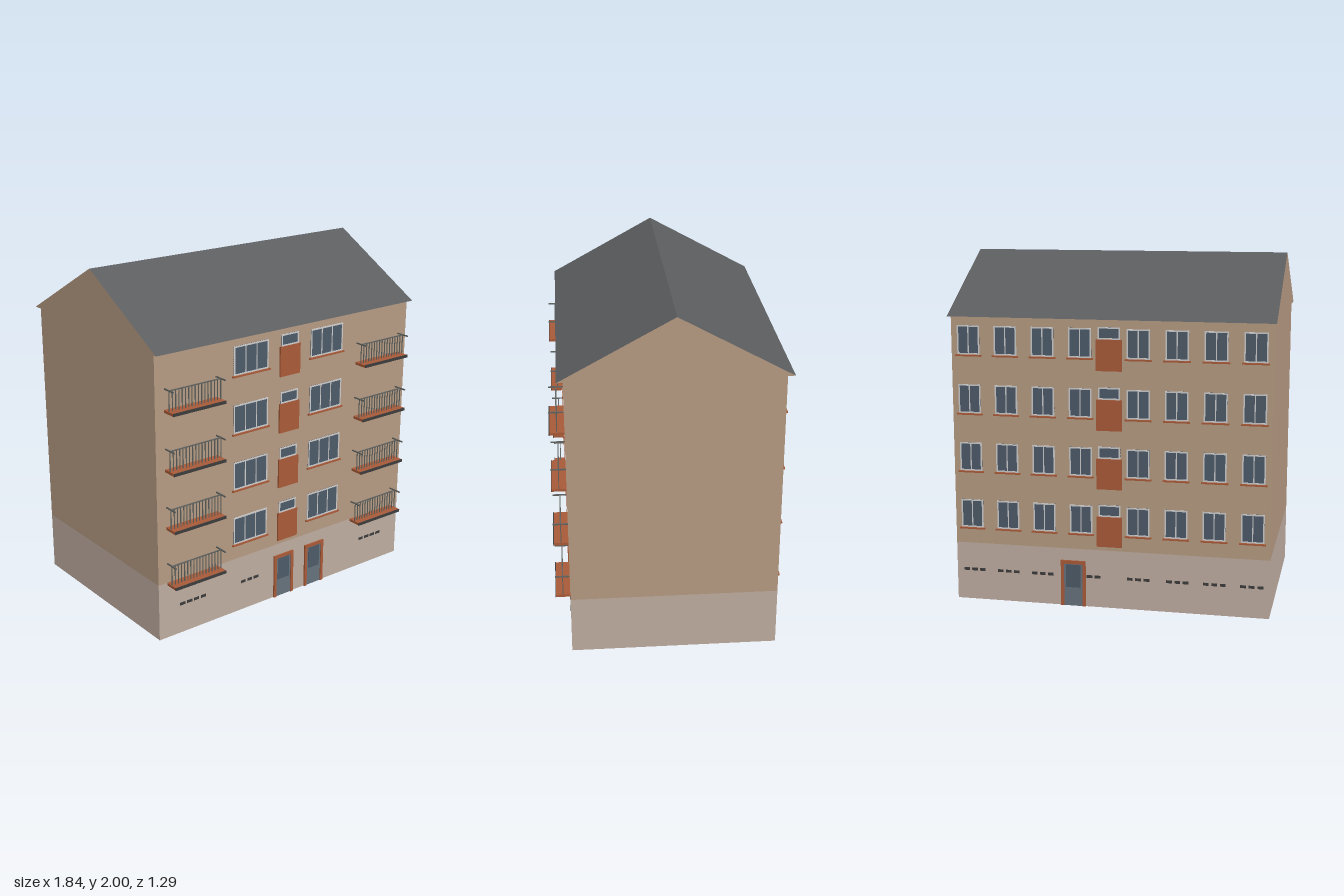
import * as THREE from 'three';

const mat = (color, side = THREE.FrontSide) =>
  new THREE.MeshStandardMaterial({ color, side, roughness: 0.9, flatShading: true });

const FRONT = 0.56, BACK = -0.605, HALF = 0.91;
const BAND = 0.34, EAVE = 1.66, RIDGE = 2.0, STOREY = 0.336, FLOORS = 4;

export function createModel() {
  const M = {
    wall: mat(0xb59a82, THREE.DoubleSide), band: mat(0xbeaca0, THREE.DoubleSide),
    gable: mat(0xb59a82), roof: mat(0x5a5c5e), orange: mat(0xa85a38),
    dark: mat(0x3c3c3c), rail: mat(0x60625f), frame: mat(0xc4c8c6),
    glass: mat(0x4c5a68), door: mat(0x66727c),
  };
  const model = new THREE.Group();
  model.name = 'apartmentBlock';

  // Box given by its centre x, bottom y, back z and size
  function box(parent, name, material, x, y, z, w, h, d) {
    const mesh = new THREE.Mesh(new THREE.BoxGeometry(w, h, d), material);
    mesh.position.set(x, y + h / 2, z + d / 2);
    mesh.name = name;
    parent.add(mesh);
    return mesh;
  }
  function group(parent, name) {
    const g = new THREE.Group();
    g.name = name;
    parent.add(g);
    return g;
  }

  // Walls: four sides only, open below and above
  function walls(name, material, y0, y1) {
    const mesh = box(model, name, material, 0, y0, BACK, HALF * 2, y1 - y0, FRONT - BACK);
    const index = Array.from(mesh.geometry.index.array);
    mesh.geometry.setIndex([...index.slice(0, 12), ...index.slice(24, 36)]);
    mesh.geometry.clearGroups();
  }
  walls('groundFloorBand', M.band, 0, BAND);
  walls('upperWalls', M.wall, BAND, EAVE);

  // Roof: a prism along x, with wall-coloured gable ends
  const profile = new THREE.Shape();
  profile.moveTo(-0.595, EAVE);
  profile.lineTo(0.645, EAVE);
  profile.lineTo(0.025, RIDGE);
  profile.closePath();
  const prism = new THREE.ExtrudeGeometry(profile, { depth: 1.84, bevelEnabled: false });
  prism.translate(0, 0, -0.92);
  prism.rotateY(Math.PI / 2); // shape x becomes -z
  const roof = new THREE.Mesh(prism, [M.gable, M.roof]);
  roof.name = 'roof';
  model.add(roof);

  // Facade details are built against z = 0 facing +z
  const front = group(model, 'frontFacade');
  front.position.z = FRONT;
  const back = group(model, 'backFacade');
  back.position.z = BACK;
  back.rotation.y = Math.PI; // local x is mirrored here

  function windowUnit(parent, x, y, w, h, panes, sill) {
    const g = group(parent, 'window');
    const t = 0.008;
    box(g, 'glass', M.glass, x, y, 0, w, h, 0.003);
    for (const dy of [0, h - t]) box(g, 'frameRail', M.frame, x, y + dy, 0, w, t, 0.006);
    for (let i = 0; i <= panes; i++) {
      const edge = i === 0 || i === panes;
      const px = x + (i / panes - 0.5) * (w - t);
      box(g, 'frameStile', M.frame, px, y, 0, edge ? t : 0.006, h, 0.0055);
    }
    if (sill) box(g, 'sill', M.orange, x, y - 0.01, 0, w + 0.02, 0.009, 0.013);
  }

  // Stairwell: projecting panel with a small window above
  function stairPanel(parent, y, depth) {
    box(parent, 'stairPanel', M.orange, 0, y + 0.365, 0, 0.145, 0.175, depth);
    windowUnit(parent, 0, y + 0.54, 0.125, 0.068, 1, false);
  }

  function door(parent, x) {
    const g = group(parent, 'door');
    for (const s of [-1, 1]) box(g, 'doorJamb', M.orange, x + s * 0.0635, 0, 0, 0.018, 0.27, 0.01);
    box(g, 'doorLintel', M.orange, x, 0.25, 0, 0.11, 0.02, 0.01);
    box(g, 'doorLeaf', M.door, x, 0, 0, 0.109, 0.25, 0.004);
    box(g, 'doorGlass', M.glass, x, 0.11, 0, 0.085, 0.135, 0.006);
  }

  function vents(parent, x, count) {
    for (let i = 0; i < count; i++)
      box(parent, 'vent', M.dark, x + (i - (count - 1) / 2) * 0.048, 0.172, 0, 0.033, 0.016, 0.003);
  }

  // Balcony: slab with a dark front edge, barred railing and side rails
  function balcony(x, y) {
    const g = group(front, 'balcony');
    const w = 0.345, top = y + 0.34, railY = y + 0.452, bars = 17;
    box(g, 'slab', M.orange, x, y + 0.325, 0, w, 0.015, 0.08);
    box(g, 'slabEdge', M.dark, x, y + 0.324, 0.08, w, 0.017, 0.004);
    box(g, 'topRail', M.rail, x, railY, 0.038, w - 0.004, 0.006, 0.006);
    for (const s of [-1, 1])
      box(g, 'sideRail', M.rail, x + s * (w / 2 - 0.005), railY, 0, 0.007, 0.007, 0.083);
    for (let i = 0; i < bars; i++) {
      const bx = x + (i / (bars - 1) - 0.5) * (w - 0.01);
      box(g, 'bar', M.rail, bx, top, 0.039, 0.005, railY - top, 0.004);
    }
  }

  for (let f = 0; f < FLOORS; f++) {
    const y = f * STOREY;
    for (const s of [-1, 1]) {
      balcony(s * 0.68, y);
      windowUnit(front, s * 0.275, y + 0.435, 0.24, 0.165, 3, true);
      for (const x of [0.165, 0.38, 0.595, 0.81])
        windowUnit(back, s * x, y + 0.435, 0.13, 0.165, 2, true);
    }
    stairPanel(front, y, 0.01);
    stairPanel(back, y, 0.014);
  }

  // Entrances and cellar vents
  door(front, -0.022);
  door(front, 0.215);
  door(back, -0.213);
  vents(front, -0.68, 4);
  vents(front, -0.275, 3);
  vents(front, 0.68, 4);
  for (const x of [-0.805, -0.6, -0.395, 0.165, 0.39, 0.6, 0.81]) vents(back, x, 3);
  vents(back, -0.095, 2);

  return model;
}
